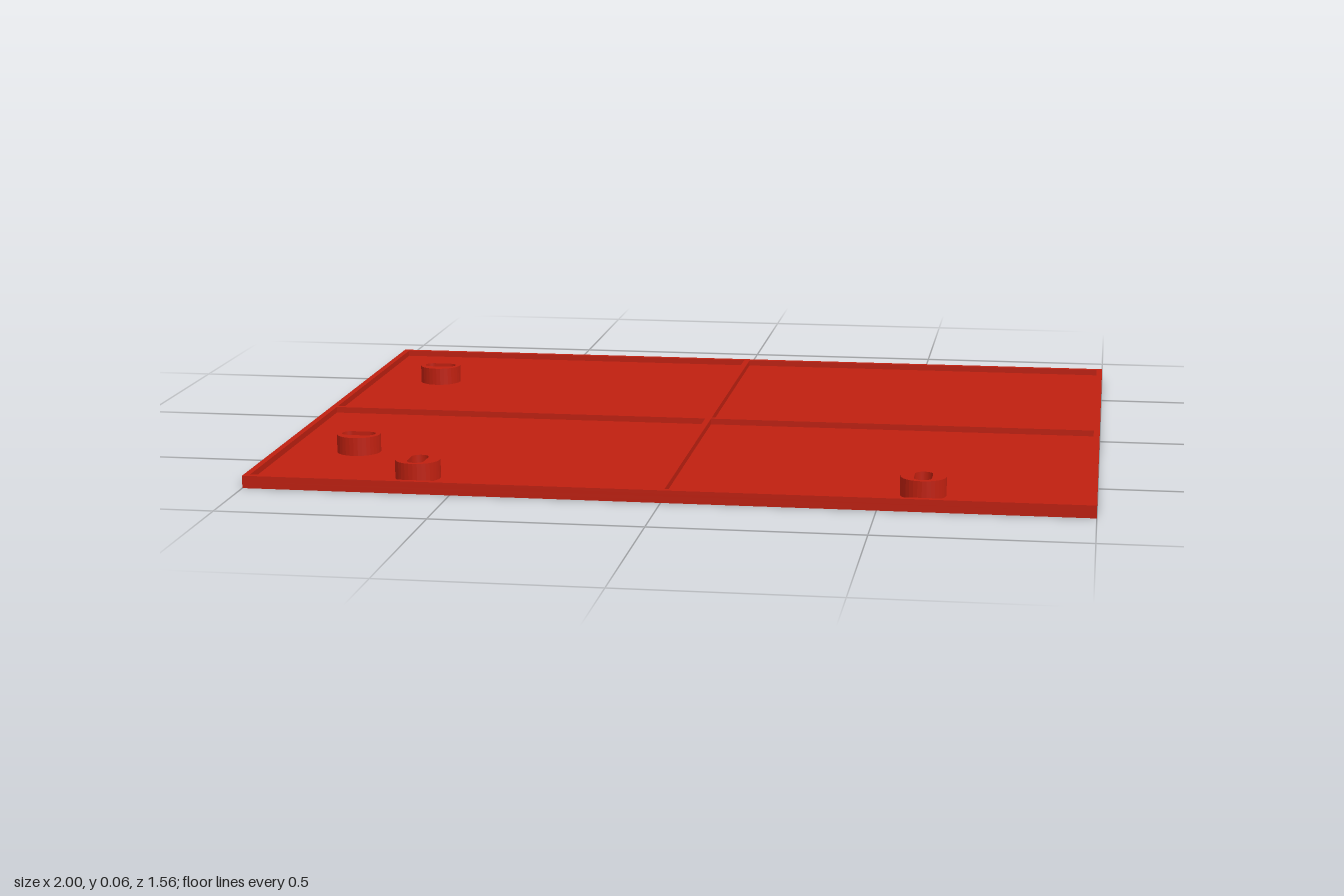
import * as THREE from 'three';

const W = 2, D = 1.56;          // plate footprint
const FLOOR = 0.015, RIM = 0.03, BOSS = 0.06; // heights
const WALL = 0.015;             // rim and rib thickness
const BOSS_R = 0.054, SLOT_R = 0.021, SLOT_HALF = 0.021;

// Slotted bosses: x, z, slot direction
const mounts = [
  [-0.81, -0.43, 0],
  [-0.81, 0.43, 0],
  [-0.6, 0.675, Math.PI / 2],
  [0.6, 0.675, Math.PI / 2],
];

function rect(Type, x0, y0, x1, y1) {
  return new Type([[x0, y0], [x1, y0], [x1, y1], [x0, y1]].map(p => new THREE.Vector2(...p)));
}

// Round-ended slot outline
function slot(cx, cy, angle) {
  const dx = Math.cos(angle) * SLOT_HALF, dy = Math.sin(angle) * SLOT_HALF;
  const path = new THREE.Path();
  path.absarc(cx + dx, cy + dy, SLOT_R, angle - Math.PI / 2, angle + Math.PI / 2, false);
  path.absarc(cx - dx, cy - dy, SLOT_R, angle + Math.PI / 2, angle + Math.PI * 1.5, false);
  path.closePath();
  return path;
}

// Extrude a plan outline upward from y0 to y1
function slab(name, shape, y0, y1, material) {
  const geometry = new THREE.ExtrudeGeometry(shape, { depth: y1 - y0, bevelEnabled: false, curveSegments: 16 });
  geometry.rotateX(-Math.PI / 2).translate(0, y0, 0);
  const mesh = new THREE.Mesh(geometry, material);
  mesh.name = name;
  return mesh;
}

export function createModel() {
  const red = new THREE.MeshStandardMaterial({ color: 0xbf2010 });
  red.name = 'red';
  const group = new THREE.Group();
  group.name = 'mountingPanel';

  // Thin floor pierced by the slots
  const floor = rect(THREE.Shape, -W / 2, -D / 2, W / 2, D / 2);
  for (const [x, z, a] of mounts) floor.holes.push(slot(x, -z, a));
  group.add(slab('floor', floor, 0, FLOOR, red));

  // Rim and crossing ribs, leaving four shallow pockets
  const frame = rect(THREE.Shape, -W / 2, -D / 2, W / 2, D / 2);
  for (const sx of [-1, 1]) for (const sz of [-1, 1]) {
    frame.holes.push(rect(THREE.Path,
      sx * WALL / 2, sz * WALL / 2, sx * (W / 2 - WALL), sz * (D / 2 - WALL)));
  }
  group.add(slab('rimAndRibs', frame, FLOOR, RIM, red));

  // Round bosses with slots through them
  mounts.forEach(([x, z, a], i) => {
    const ring = new THREE.Shape();
    ring.absarc(0, 0, BOSS_R, 0, Math.PI * 2, false);
    ring.holes.push(slot(0, 0, a));
    const boss = slab('slottedBoss' + (i + 1), ring, FLOOR, BOSS, red);
    boss.position.set(x, 0, z);
    group.add(boss);
  });

  return group;
}
